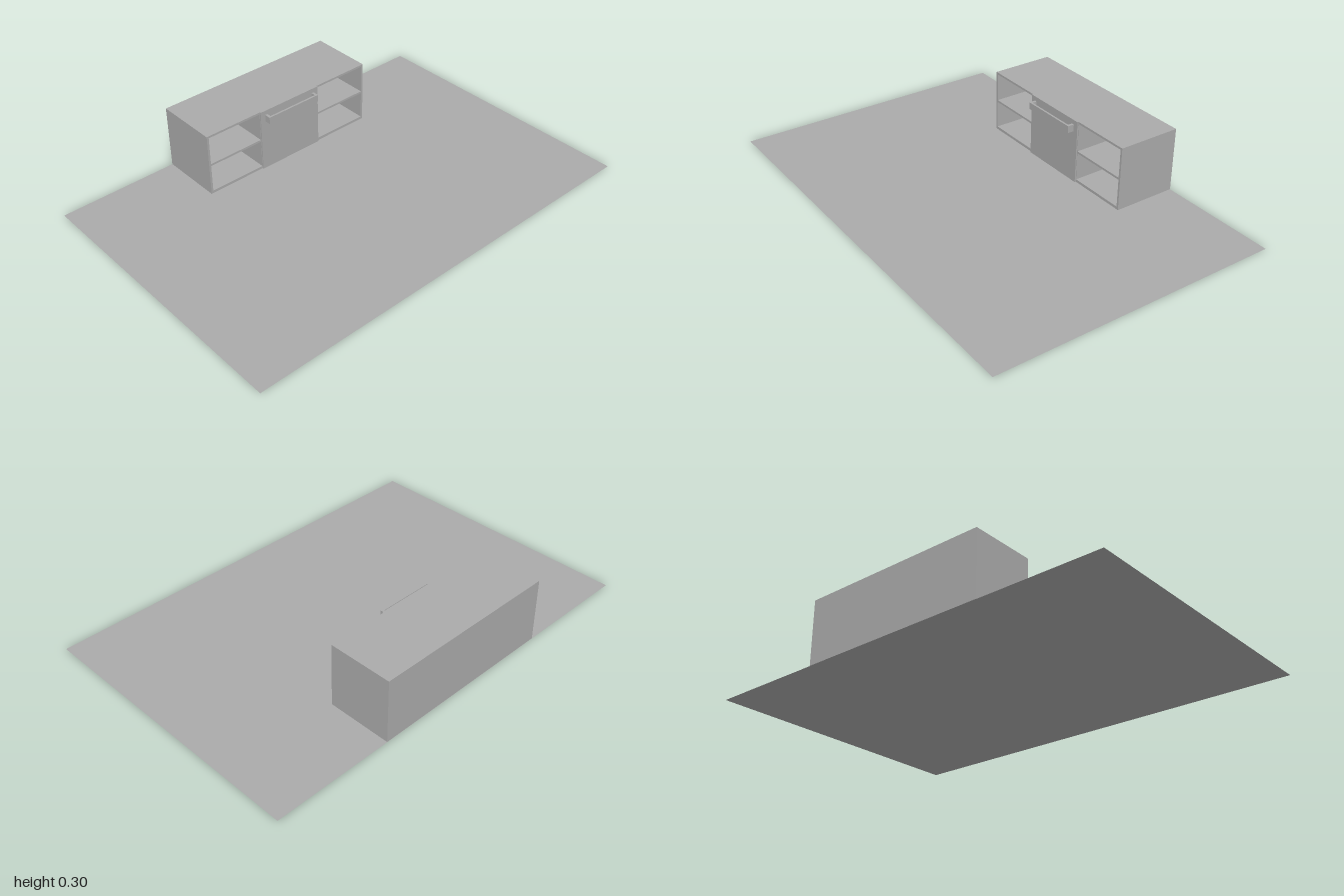
import * as THREE from 'three';

export function createModel() {
  const model = new THREE.Group();
  const grey = new THREE.MeshStandardMaterial({ color: 0xaaaaaa });
  grey.name = 'plain grey';
  grey.side = THREE.DoubleSide;

  const add = (name, geometry, parent = model) => {
    const mesh = new THREE.Mesh(geometry, grey);
    mesh.name = name;
    parent.add(mesh);
    return mesh;
  };
  const box = (name, x0, x1, y0, y1, z0, z1, parent) =>
    add(name, new THREE.BoxGeometry(x1 - x0, y1 - y0, z1 - z0), parent)
      .position.set((x0 + x1) / 2, (y0 + y1) / 2, (z0 + z1) / 2);
  const rectangle = (target, x0, x1, y0, y1) => {
    target.moveTo(x0, y0).lineTo(x1, y0).lineTo(x1, y1).lineTo(x0, y1).closePath();
    return target;
  };

  // Flat floor sheet
  add('floor', new THREE.PlaneGeometry(2, 1.333).rotateX(-Math.PI / 2));

  // Cabinet carcass with four open compartments
  const cabinet = new THREE.Group();
  cabinet.name = 'cabinet';
  model.add(cabinet);
  const width = 0.447, height = 0.3, back = -0.6665, front = -0.367, panel = 0.01;
  const outline = rectangle(new THREE.Shape(), -width, width, 0.001, height);
  for (const [x0, x1] of [[-0.437, -0.165], [0.165, 0.437]]) {
    for (const [y0, y1] of [[0.014, 0.146], [0.156, 0.29]]) {
      outline.holes.push(rectangle(new THREE.Path(), x0, x1, y0, y1));
    }
  }
  const depth = front - back - panel;
  add('carcass', new THREE.ExtrudeGeometry(outline, { depth, bevelEnabled: false }), cabinet)
    .position.z = back + panel;
  box('backPanel', -width, width, 0.001, height, back, back + panel, cabinet);

  // Centre door, slightly proud of the carcass
  box('door', -0.163, 0.163, 0.001, height, front, -0.361, cabinet);

  // U-shaped pull handle
  const grip = new THREE.Shape([
    [-0.139, 0], [-0.139, 0.031], [0.139, 0.031], [0.139, 0],
    [0.127, 0], [0.127, 0.022], [-0.127, 0.022], [-0.127, 0],
  ].map(([x, y]) => new THREE.Vector2(x, y)));
  const handle = add('handle',
    new THREE.ExtrudeGeometry(grip, { depth: 0.033, bevelEnabled: false }).rotateX(Math.PI / 2), cabinet);
  handle.position.set(0, 0.279, -0.361);

  return model;
}
